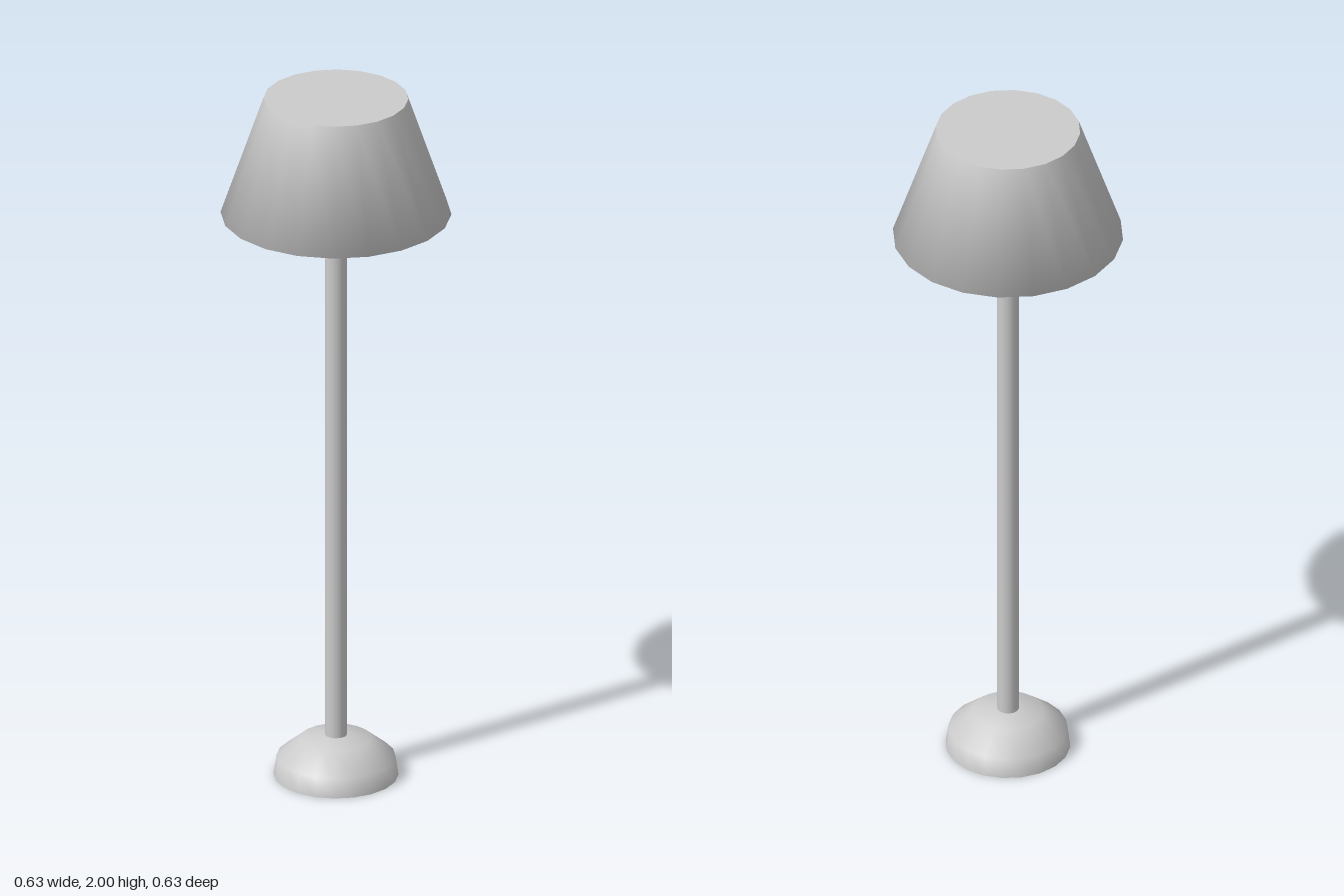
import * as THREE from 'three';

const SIDES = 20;

export function createModel() {
  const lamp = new THREE.Group();
  lamp.name = 'floorLamp';
  const material = new THREE.MeshStandardMaterial({ color: 0xcccccc });

  const add = (name, geometry) => {
    const mesh = new THREE.Mesh(geometry, material);
    mesh.name = name;
    lamp.add(mesh);
    return mesh;
  };

  // Smooth turned part from [radius, height] points, listed bottom to top
  const turned = (name, profile) =>
    add(name, new THREE.LatheGeometry(profile.map(([r, y]) => new THREE.Vector2(r, y)), SIDES));

  // Flat disc with a sharp edge, facing up (1) or down (-1)
  const disc = (name, radius, y, facing) => {
    const geometry = new THREE.CircleGeometry(radius, SIDES);
    geometry.rotateX(-facing * Math.PI / 2);
    add(name, geometry).position.y = y;
  };

  // Low domed foot
  turned('base', [[0.17, 0], [0.162, 0.055], [0.097, 0.108], [0.03, 0.118]]);
  disc('baseUnderside', 0.17, 0, -1);

  // Slim pole
  turned('stem', [[0.03, 0.118], [0.03, 1.55]]);

  // Shade: shallow cone underneath, tapering wall, closed flat top
  turned('shade', [[0.03, 1.55], [0.314, 1.66], [0.197, 2]]);
  disc('shadeTop', 0.197, 2, 1);

  return lamp;
}
